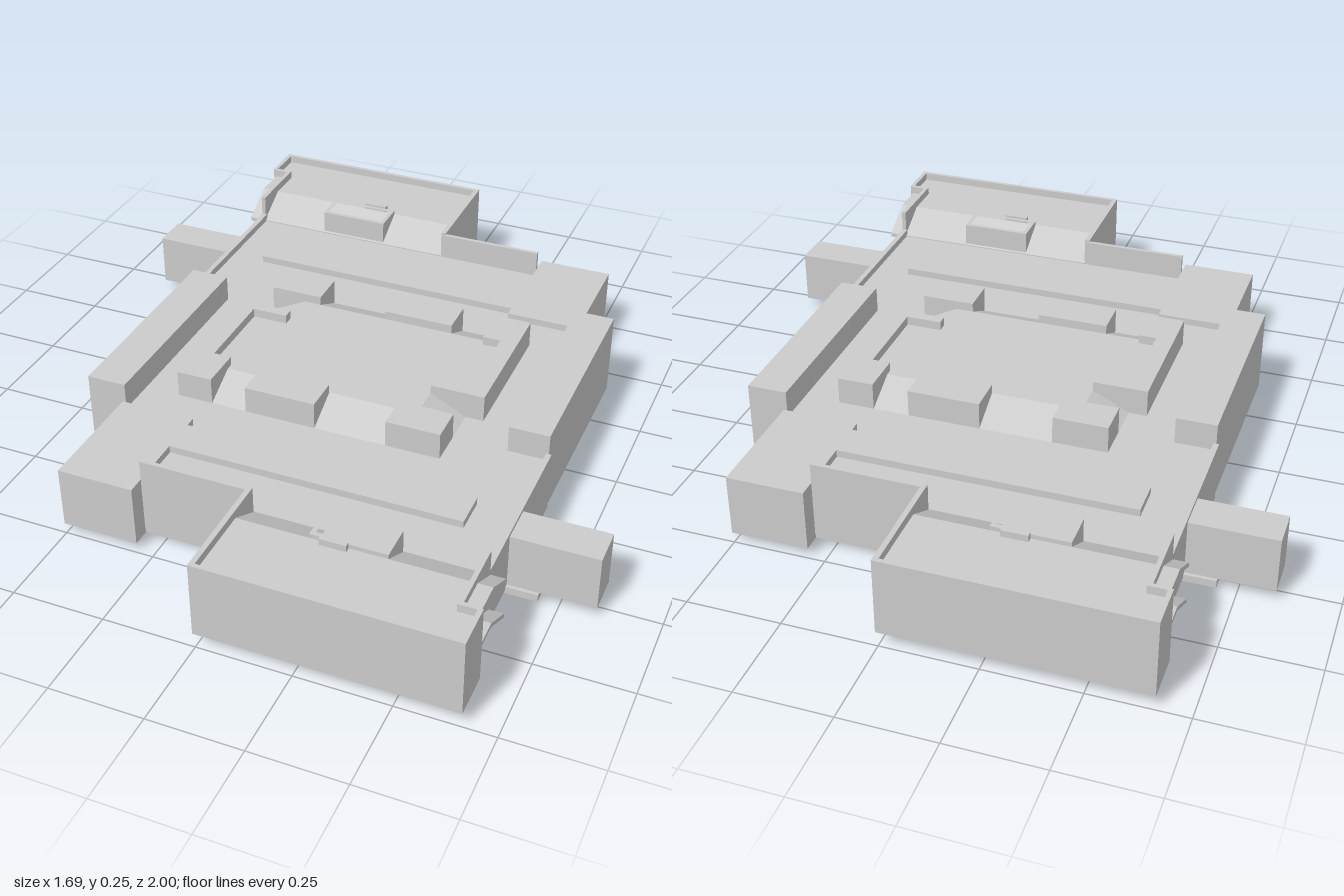
import * as THREE from 'three';

const material = new THREE.MeshStandardMaterial({ color: 0xcccccc, flatShading: true });

function add(group, name, geometry) {
  const mesh = new THREE.Mesh(geometry, material);
  mesh.name = name;
  group.add(mesh);
}

function box(group, name, [x0, x1], [y0, y1], [z0, z1]) {
  const g = new THREE.BoxGeometry(x1 - x0, y1 - y0, z1 - z0);
  add(group, name, g.translate((x0 + x1) / 2, (y0 + y1) / 2, (z0 + z1) / 2));
}

const points = (list, sign) => list.map(([a, b]) => new THREE.Vector2(a, sign * b));
const rect = (x0, x1, z0, z1) => [[x0, z0], [x1, z0], [x1, z1], [x0, z1]];

// Plan outline in x, z raised from y0 to y1
function plate(group, name, outline, y0, y1, holes = []) {
  const shape = new THREE.Shape(points(outline, -1));
  shape.holes = holes.map((h) => new THREE.Path(points(h, -1)));
  const g = new THREE.ExtrudeGeometry(shape, { depth: y1 - y0, bevelEnabled: false });
  add(group, name, g.rotateX(-Math.PI / 2).translate(0, y0, 0));
}

// Side profile in z, y swept from x0 to x1
function sweep(group, name, profile, x0, x1) {
  const shape = new THREE.Shape(points(profile, 1));
  const g = new THREE.ExtrudeGeometry(shape, { depth: x1 - x0, bevelEnabled: false });
  add(group, name, g.rotateY(-Math.PI / 2).translate(x1, 0, 0));
}

const turned = (list) => list.map(([x, z]) => [-x, -z]);
const FLOOR = 0.17, DECK = 0.22, TOP = 0.245;

// Everything that occurs twice, turned half way round the vertical axis
function createHalf() {
  const half = new THREE.Group();

  // Corner block with its long raised strip
  plate(half, 'cornerBlock', [[-0.51, 0.41], [-0.3, 0.41], [-0.3, 0.44], [0.5, 0.44], [0.5, 0.54],
    [-0.3, 0.54], [-0.3, 0.74], [-0.51, 0.74]], 0.1, 0.19);
  box(half, 'cornerBlockBase', [-0.51, -0.3], [0.02, 0.1], [0.41, 0.74]);

  // Side rail, its foot and the low edge beyond it
  box(half, 'sideRail', [0.5, 0.61], [0.01, TOP], [-0.41, 0.2]);
  box(half, 'railFoot', [0.39, 0.605], [0, 0.02], [-0.41, 0.05]);
  box(half, 'sideEdge', [0.602, 0.617], [0.02, 0.19], [0.2, 0.69]);

  // Side tab
  box(half, 'sideTab', [0.61, 0.845], [0.03, 0.18], [0.435, 0.54]);
  box(half, 'tabBase', [0.5, 0.7], [0.01, 0.03], [0.42, 0.55]);

  // Upright lip beside the bay
  box(half, 'endLip', [-0.3, 0], [0.03, TOP], [0.68, 0.692]);

  // End bay: thin walls around a roof that is open below
  const bay = new THREE.Group();
  bay.name = 'endBay';
  half.add(bay);
  const wallY = [0.04, 0.25];
  box(bay, 'innerWall', [-0.006, 0.008], wallY, [0.685, 1]);
  box(bay, 'endWall', [0, 0.665], wallY, [0.988, 1]);
  box(bay, 'outerWall', [0.653, 0.665], wallY, [0.88, 0.99]);
  box(bay, 'wallReturn', [0.605, 0.66], wallY, [0.875, 0.887]);
  box(bay, 'sideWall', [0.605, 0.617], wallY, [0.685, 0.88]);
  const bent = (y, end) => [[0.68, y - 0.055], [0.78, y], [end, y], [end, y - 0.012],
    [0.782, y - 0.012], [0.68, y - 0.067]];
  sweep(bay, 'bayRoof', bent(0.228, 0.99), 0.006, 0.61);
  sweep(bay, 'bayRoofOuter', [[0.88, 0.228], [0.99, 0.228], [0.99, 0.216], [0.88, 0.216]], 0.605, 0.655);
  sweep(bay, 'upperLedge', bent(0.228, 0.88), 0.612, 0.655);
  sweep(bay, 'lowerLedge', bent(0.12, 0.88), 0.612, 0.655);
  box(bay, 'wallNotch', [0.23, 0.3], [0.22, 0.246], [0.78, 0.795]);

  // Hollow connector on the bay slope
  plate(bay, 'connectorFrame', rect(0.2, 0.4, 0.685, 0.78), 0.13, 0.24, [rect(0.212, 0.388, 0.697, 0.768)]);
  box(bay, 'connectorFloor', [0.21, 0.39], [0.19, 0.2], [0.695, 0.77]);

  // Blocks, ramps and hooked bracket around the centre deck
  box(half, 'deckBlockInner', [-0.2, 0], [0.15, TOP], [0.2, 0.3]);
  box(half, 'deckBlockOuter', [0.2, 0.35], [0.15, TOP], [0.2, 0.3]);
  const ramp = [[0.2, 0.15], [0.3, 0.15], [0.3, FLOOR], [0.2, DECK]];
  sweep(half, 'deckRampWide', ramp, 0, 0.2);
  sweep(half, 'deckRampNarrow', ramp, -0.3, -0.2);
  const side = new THREE.Group();
  side.name = 'deckSideRamp';
  sweep(side, 'sideRamp', [[0.25, 0.15], [0.35, 0.15], [0.35, FLOOR], [0.25, DECK]], -0.2, -0.1);
  side.rotation.y = Math.PI / 2;
  half.add(side);
  plate(half, 'hookBracket', [[0.3, -0.3], [0.4, -0.3], [0.4, 0.1], [0.25, 0.1], [0.25, 0.07],
    [0.35, 0.07], [0.35, -0.18], [0.3, -0.18]], 0.15, TOP);
  return half;
}

export function createModel() {
  const model = new THREE.Group();
  model.name = 'basePlatform';

  // Main body, with shallow pockets underneath
  const edge = [[0.61, -0.41], [0.61, 0.69], [-0.3, 0.69], [-0.3, 0.74], [-0.51, 0.74], [-0.51, 0.41]];
  const outline = [...edge, ...turned(edge)];
  const pockets = [rect(-0.18, -0.02, 0.21, 0.29), rect(0.22, 0.34, 0.21, 0.29)];
  plate(model, 'bodyFloor', outline, 0.04, FLOOR);
  plate(model, 'bodyUnderside', outline, 0.02, 0.04,
    [...pockets, ...pockets.map(turned), rect(-0.35, 0.35, -0.03, 0.03)]);

  // Raised centre deck
  const deck = [[0.35, -0.2], [0.35, 0.1], [0.25, 0.1], [0.25, 0.2]];
  plate(model, 'centreDeck', [...deck, ...turned(deck)], 0.15, DECK);

  for (const [name, angle] of [['frontHalf', 0], ['backHalf', Math.PI]]) {
    const half = createHalf();
    half.name = name;
    half.rotation.y = angle;
    model.add(half);
  }
  return model;
}
